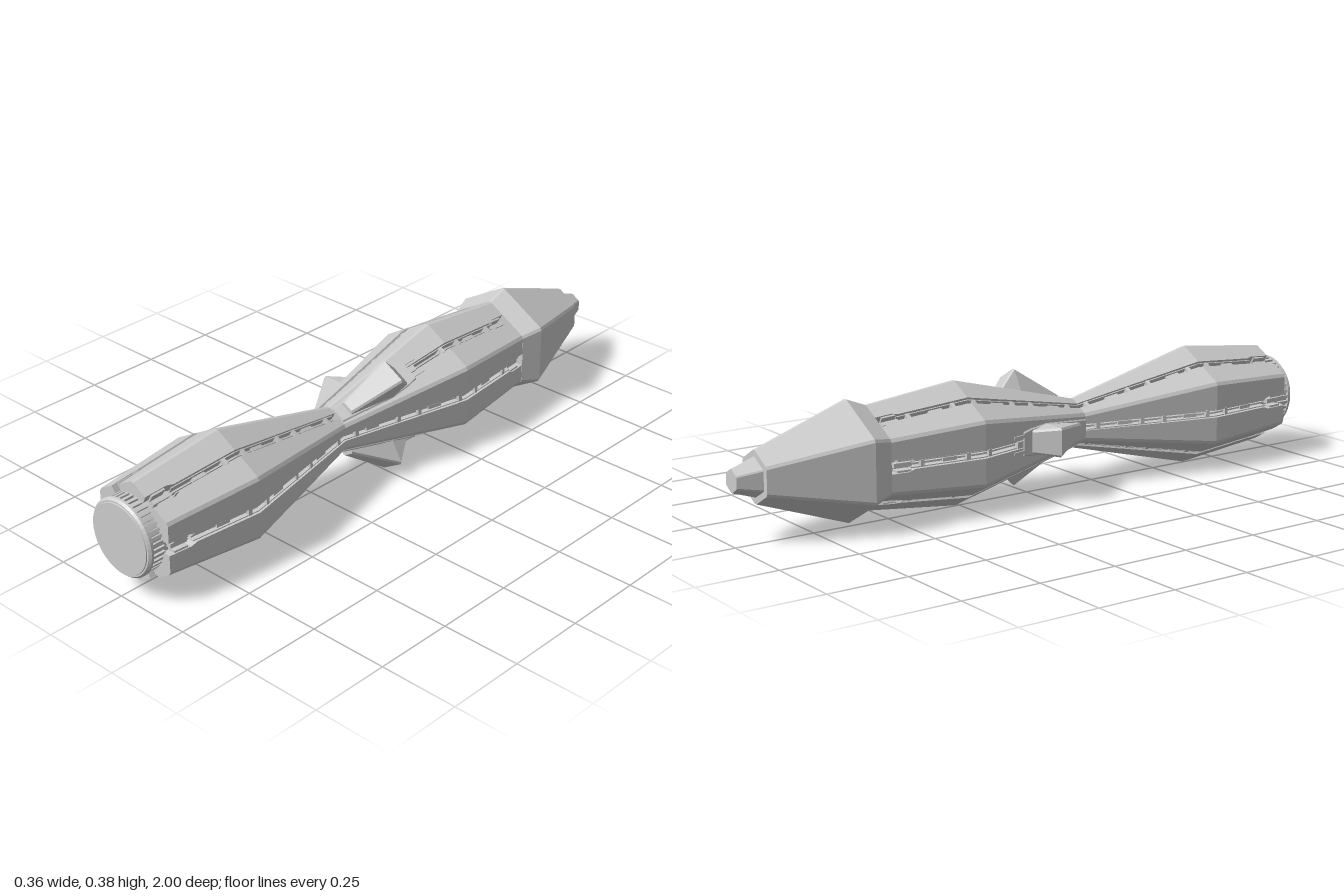
import * as THREE from 'three';
import { mergeGeometries } from 'three/addons/utils/BufferGeometryUtils.js';

const COS30 = Math.cos(Math.PI / 6);
const metal = new THREE.MeshStandardMaterial({ color: 0xcccccc, flatShading: true });

// Body silhouette: [z, distance from axis to a flat]
const PROFILE = [[-0.565, 0.138], [-0.26, 0.168], [0.18, 0.07], [0.63, 0.168], [0.945, 0.139]];

function flatAt(z) {
  for (let i = 1; i < PROFILE.length; i++) {
    const [z0, a0] = PROFILE[i - 1], [z1, a1] = PROFILE[i];
    if (z <= z1) return a0 + (a1 - a0) * (z - z0) / (z1 - z0);
  }
  return PROFILE[PROFILE.length - 1][1];
}

// Skins closed rings (counter-clockwise, ascending z) and caps both ends
function loft(rings) {
  const n = rings[0].length, pos = [], idx = [];
  rings.forEach(ring => ring.forEach(p => pos.push(...p)));
  for (let r = 0; r < rings.length - 1; r++) {
    for (let i = 0; i < n; i++) {
      const a = r * n + i, b = r * n + (i + 1) % n;
      idx.push(a, b, b + n, a, b + n, a + n);
    }
  }
  [0, rings.length - 1].forEach(r => {
    const c = pos.length / 3, mid = [0, 1, 2].map(k => rings[r].reduce((s, p) => s + p[k], 0) / n);
    pos.push(...mid);
    for (let i = 0; i < n; i++) {
      const a = r * n + i, b = r * n + (i + 1) % n;
      if (r) idx.push(c, a, b); else idx.push(c, b, a);
    }
  });
  const g = new THREE.BufferGeometry();
  g.setAttribute('position', new THREE.Float32BufferAttribute(pos, 3));
  g.setIndex(idx);
  g.computeVertexNormals();
  return g;
}

// Six-sided ring with blunted corners; optional groove down the middle of each flat
function hexRing(z, flat, blunt, groove = 0, depth = 0) {
  const ring = [], edge = flat * Math.tan(Math.PI / 6) - blunt;
  for (let k = 0; k < 6; k++) {
    const c = Math.cos(k * Math.PI / 3), s = Math.sin(k * Math.PI / 3);
    const pts = [[flat, -edge]];
    if (groove) pts.push([flat, -groove], [flat - depth, -groove], [flat - depth, groove], [flat, groove]);
    pts.push([flat, edge]);
    pts.forEach(([r, t]) => ring.push([r * c - t * s, r * s + t * c, z]));
  }
  return ring;
}

// Bar that follows the body silhouette along a flat (r = x, tangent = y)
function rail(z0, z1, top, bottom, width, offset = 0) {
  const zs = [z0, ...PROFILE.map(p => p[0]).filter(z => z > z0 && z < z1), z1];
  return loft(zs.map(z => {
    const a = flatAt(z), l = offset - width / 2, r = offset + width / 2;
    return [[a + bottom, l, z], [a + top, l, z], [a + top, r, z], [a + bottom, r, z]];
  }));
}

// Fin cross-section with chamfered outer corners
function finRing(z, r0, r1, hw, c = 0.006) {
  return [[r0, -hw, z], [r1 - c, -hw, z], [r1, -hw + c, z], [r1, hw - c, z], [r1 - c, hw, z], [r0, hw, z]];
}

export function createModel() {
  const model = new THREE.Group();
  model.name = 'model';
  const axis = new THREE.Group();
  axis.name = 'shaft';
  axis.position.set(0.01, 0.193, 0);
  model.add(axis);
  const add = (name, geometry, parent = axis) => {
    const mesh = new THREE.Mesh(geometry, metal);
    mesh.name = name;
    parent.add(mesh);
    return mesh;
  };

  // Waisted hexagonal body; grooves flare at both ends
  const stations = [[-0.565, 0.02], [-0.51, 0.02], [-0.49, 0.013], [-0.26, 0.013], [0.18, 0.011],
    [0.63, 0.013], [0.85, 0.013], [0.87, 0.02], [0.945, 0.02]];
  add('body', loft(stations.map(([z, g]) => hexRing(z, flatAt(z), 0.007, g, 0.03))));

  // Nose cone and tip
  add('noseCone', loft([[-0.927, 0.07], [-0.63, 0.161], [-0.565, 0.139]].map(([z, a]) => hexRing(z, a, 0.006))));
  add('noseTip', loft([[-1, 0.031], [-0.92, 0.054]].map(([z, a]) => hexRing(z, a, 0.003))));

  // Mechanical inlay in each groove
  const finSides = [1, 3, 5];
  for (let k = 0; k < 6; k++) {
    const side = new THREE.Group();
    side.name = 'side' + (k + 1);
    side.rotation.z = k * Math.PI / 3;
    axis.add(side);

    const parts = [];
    const hasFin = finSides.includes(k);
    const spans = hasFin ? [[-0.5, -0.12], [0.19, 0.86]] : [[-0.5, 0.86]];
    spans.forEach(([z0, z1]) => {
      parts.push(rail(z0, z1, -0.014, -0.032, 0.005));
      for (const s of [-1, 1]) parts.push(rail(z0, z1, -0.006, -0.032, 0.003, s * 0.0095));
      // Cross links and long covers
      for (let z = z0 + 0.03, i = 0; z < z1 - 0.06; z += 0.075, i++) {
        const long = i % 3 === 1;
        parts.push(rail(z, z + (long ? 0.045 : 0.012), long ? -0.009 : -0.004, -0.032, long ? 0.011 : 0.022));
      }
    });
    // End clamps
    for (const z of [-0.55, 0.875]) {
      parts.push(rail(z, z + 0.055, -0.012, -0.032, 0.014));
      for (const s of [-1, 1]) parts.push(rail(z + 0.005, z + 0.05, -0.003, -0.032, 0.006, s * 0.016));
    }
    add('grooveInlay', mergeGeometries(parts), side);

    if (!hasFin) continue;
    // Wedge fin: tallest and widest at its ridge
    add('fin', loft([
      finRing(-0.065, 0.07, 0.132, 0.036), finRing(0, 0.07, 0.19, 0.045), finRing(0.145, 0.05, 0.094, 0.022),
    ]), side);
    // Mounting frame under the fin
    add('finBase', loft([[-0.1, 0.036], [-0.065, 0.042], [0, 0.046], [0.15, 0.029], [0.178, 0.026]]
      .map(([z, hw]) => finRing(z, flatAt(z) - 0.03, flatAt(z) + 0.005, hw, 0.003))), side);
    // Rear prongs
    const prongs = [-1, 1].map(s => rail(-0.14, -0.095, 0.004, -0.02, 0.009, s * 0.024));
    prongs.push(rail(-0.125, -0.095, 0.001, -0.03, 0.02));
    add('finProngs', mergeGeometries(prongs), side);
  }

  // Round end cap with ribbed collar
  const cap = [[0, 0.93], [0.111, 0.93], [0.111, 0.982], [0.12, 0.982], [0.12, 0.99], [0.114, 0.997],
    [0.109, 0.997], [0.108, 1], [0, 1]].map(([r, z]) => new THREE.Vector2(r, z));
  add('endCap', new THREE.LatheGeometry(cap, 48).rotateX(Math.PI / 2));
  const ribs = [];
  for (let i = 0; i < 40; i++) {
    ribs.push(new THREE.BoxGeometry(0.012, 0.009, 0.045).translate(0.112, 0, 0.962).rotateZ(i * Math.PI / 20));
  }
  add('collarRibs', mergeGeometries(ribs));

  return model;
}
